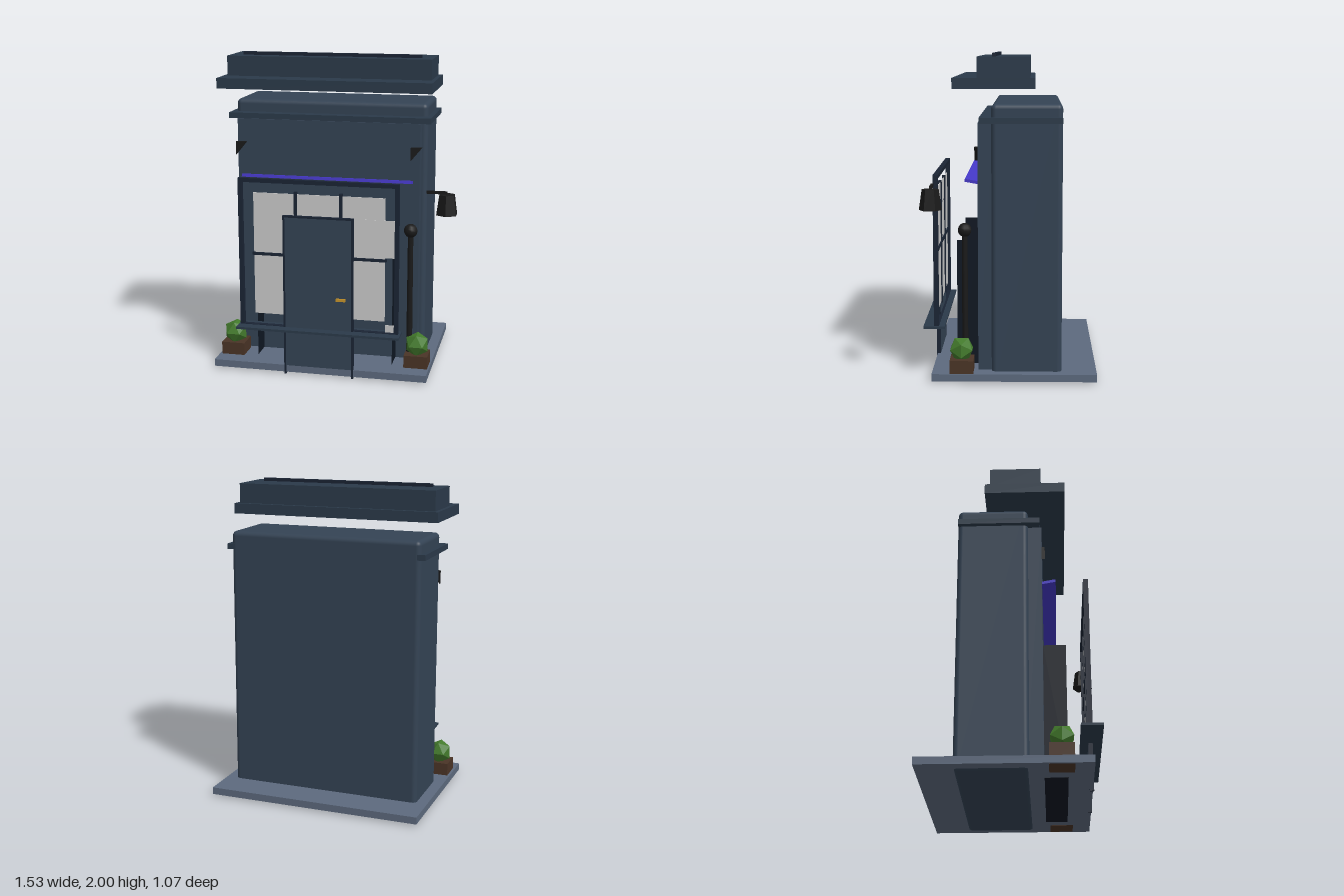
import * as THREE from 'three';
import { RoundedBoxGeometry } from 'three/addons/geometries/RoundedBoxGeometry.js';

const mat = (color, extra = {}) => new THREE.MeshStandardMaterial({ color, ...extra });
const M = {
  wall: mat(0x344354),
  roof: mat(0x2b3a4a),
  trim: mat(0x1a2434),
  inside: mat(0x0f1722, { side: THREE.DoubleSide }),
  stone: mat(0x5d6a7e),
  pane: mat(0xcccccc, { side: THREE.DoubleSide }),
  awning: mat(0x4538c8),
  iron: mat(0x1a1a1a),
  lamp: mat(0x1a1a1a, { flatShading: true }),
  brass: mat(0xc8952a),
  wood: mat(0x4a3426),
  leaf: mat(0x437a2c, { flatShading: true }),
};

export function createModel() {
  const root = new THREE.Group();
  root.name = 'shopFront';

  const add = (name, geometry, material, x = 0, y = 0, z = 0, parent = root) => {
    const mesh = new THREE.Mesh(geometry, material);
    mesh.name = name;
    mesh.position.set(x, y, z);
    parent.add(mesh);
    return mesh;
  };
  // Box given by its limits on each axis
  const box = (name, material, [x0, x1], [y0, y1], [z0, z1], parent = root) =>
    add(name, new THREE.BoxGeometry(x1 - x0, y1 - y0, z1 - z0), material,
      (x0 + x1) / 2, (y0 + y1) / 2, (z0 + z1) / 2, parent);
  const group = (name) => {
    const g = new THREE.Group();
    g.name = name;
    root.add(g);
    return g;
  };

  // Pavement and building shell
  box('pavement', M.stone, [-0.77, 0.6], [0.015, 0.06], [-0.54, 0.47]);
  add('body', new RoundedBoxGeometry(1.235, 1.695, 0.43, 4, 0.03), M.wall, -0.0825, 0.8525, -0.11);
  box('facade', M.wall, [-0.67, 0.5], [0.06, 1.585], [0.09, 0.188]);
  box('cornice', M.roof, [-0.73, 0.565], [1.585, 1.62], [-0.324, 0.178]);

  // Raised roof
  const roof = group('roof');
  box('roofSlab', M.roof, [-0.755, 0.59], [1.79, 1.855], [-0.16, 0.335], roof);
  box('roofBlock', M.roof, [-0.73, 0.565], [1.855, 1.98], [-0.13, 0.187], roof);
  box('roofRidge', M.trim, [-0.65, 0.49], [1.98, 2.0], [0.075, 0.1], roof);

  // Display recess: two thin cheeks and a floor
  const recess = group('displayRecess');
  for (const x of [-0.52, 0.36]) {
    const cheek = add('recessCheek', new THREE.PlaneGeometry(0.137, 0.837), M.inside, x, 0.4315, 0.2565, recess);
    cheek.rotation.y = Math.PI / 2;
  }
  const floor = add('recessFloor', new THREE.PlaneGeometry(0.88, 0.137), M.inside, -0.08, 0.013, 0.2565, recess);
  floor.rotation.x = -Math.PI / 2;

  // Window frame, sill, glazing and bars
  const win = group('window');
  for (const x of [-0.59, 0.395]) box('frameSide', M.trim, [x, x + 0.025], [0.31, 1.26], [0.437, 0.468], win);
  box('frameTop', M.trim, [-0.59, 0.42], [1.235, 1.26], [0.437, 0.468], win);
  box('frameBottom', M.trim, [-0.59, 0.42], [0.3, 0.318], [0.437, 0.468], win);
  box('sill', M.roof, [-0.6, 0.435], [0.3, 0.315], [0.4, 0.533], win);
  box('glass', M.pane, [-0.495, 0.335], [0.39, 1.17], [0.45, 0.455], win);
  for (const x of [-0.225, 0.06]) box('uprightBar', M.trim, [x - 0.01, x + 0.01], [0.38, 1.185], [0.442, 0.463], win);
  box('crossBar', M.trim, [-0.505, 0.345], [0.772, 0.79], [0.442, 0.463], win);
  box('poster', M.pane, [0.165, 0.4], [0.8, 1.035], [0.464, 0.466], win);
  box('smallCard', M.pane, [0.34, 0.395], [0.325, 0.372], [0.464, 0.466], win);

  // Door
  const door = group('door');
  box('doorPanel', M.wall, [-0.293, 0.128], [0.06, 1.025], [0.45, 0.473], door);
  for (const x of [-0.305, 0.128]) box('doorJamb', M.trim, [x, x + 0.012], [0.003, 1.037], [0.45, 0.476], door);
  box('doorHead', M.trim, [-0.305, 0.14], [1.025, 1.037], [0.45, 0.476], door);
  box('doorHandle', M.brass, [0.032, 0.092], [0.508, 0.525], [0.473, 0.485], door);

  // Awning, tipped slightly up at the front
  const awning = add('awning', new THREE.BoxGeometry(1.085, 0.018, 0.1), M.awning, -0.0825, 1.226, 0.22);
  awning.rotation.x = -0.18;

  // Triangular wall brackets
  const tri = new THREE.Shape([[0, 0], [0, -0.085], [0.07, 0]].map(([x, y]) => new THREE.Vector2(x, y)));
  const bracket = new THREE.ExtrudeGeometry(tri, { depth: 0.02, bevelEnabled: false });
  add('bracket', bracket, M.iron, -0.68, 1.44, 0.187);
  add('bracket', bracket, M.iron, 0.445, 1.44, 0.187);

  // Hanging lantern
  const lantern = group('lantern');
  box('lanternArm', M.iron, [0.582, 0.705], [1.213, 1.23], [0.447, 0.462], lantern);
  add('lanternShade', new THREE.CylinderGeometry(0.05, 0.068, 0.122, 6), M.lamp, 0.705, 1.151, 0.455, lantern);

  // Lamp post with ball
  const post = group('lampPost');
  add('postShaft', new THREE.CylinderGeometry(0.017, 0.019, 0.84, 8), M.iron, 0.462, 0.48, 0.27, post);
  add('postBall', new THREE.SphereGeometry(0.043, 10, 8), M.iron, 0.462, 0.93, 0.27, post);

  // Planters with faceted shrubs
  for (const x of [-0.68, 0.515]) {
    const planter = group('planter');
    box('planterBox', M.wood, [x - 0.075, x + 0.075], [0.014, 0.14], [0.215, 0.36], planter);
    const shrub = add('shrub', new THREE.IcosahedronGeometry(0.08), M.leaf, x, 0.197, 0.29, planter);
    shrub.rotation.y = Math.PI / 2;
  }

  return root;
}
